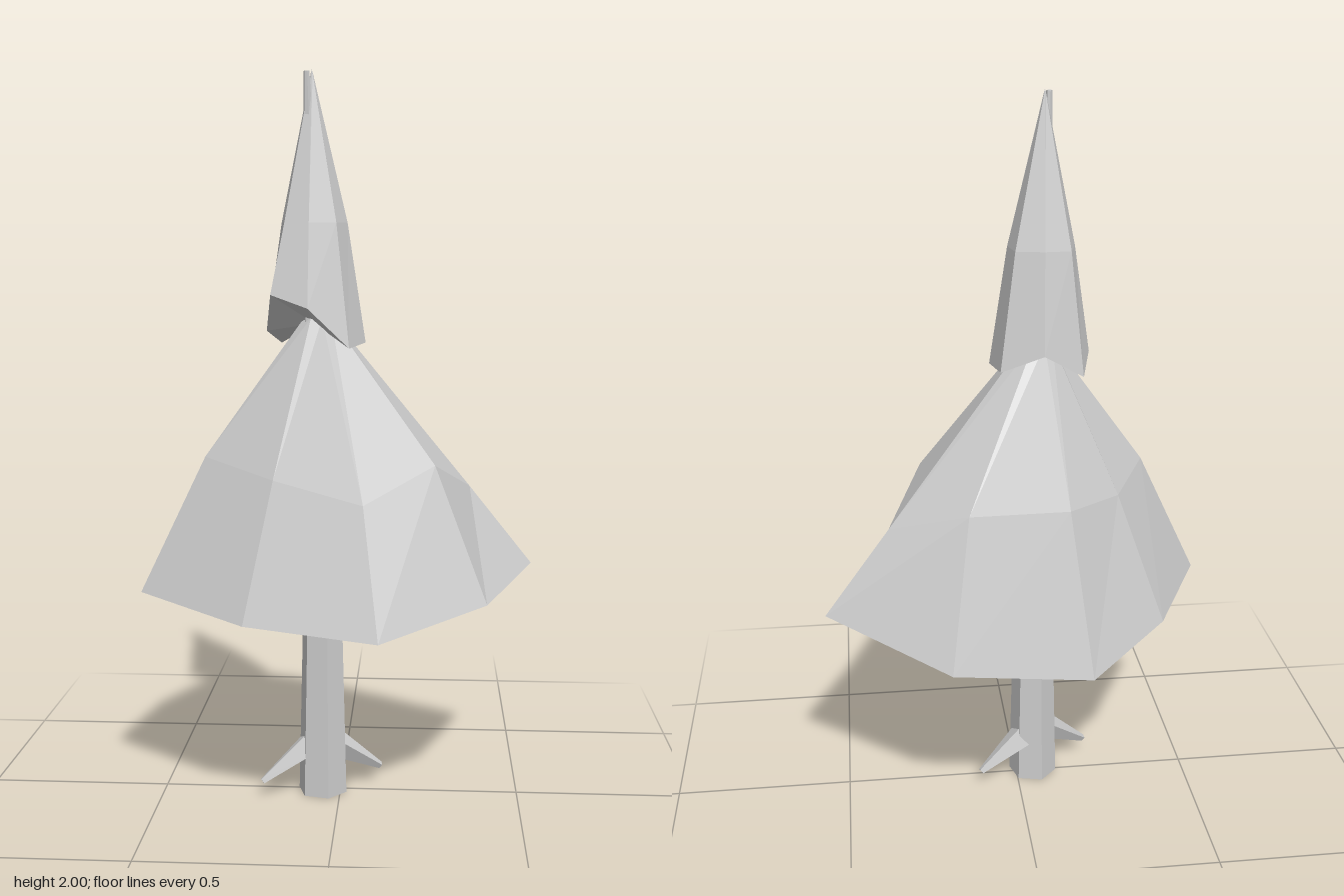
import * as THREE from 'three';

const grey = new THREE.MeshStandardMaterial({ color: 0xcccccc });
grey.name = 'pale grey';

function addMesh(group, name, geometry) {
  const flat = geometry.index ? geometry.toNonIndexed() : geometry;
  flat.computeVertexNormals();
  const mesh = new THREE.Mesh(flat, grey);
  mesh.name = name;
  group.add(mesh);
  return mesh;
}

// Skin rings of [x, y, z] points from bottom to top, closing both ends at a centre point.
function loft(rings, bottom, top) {
  const pos = [];
  const tri = (a, b, c) => pos.push(...a, ...b, ...c);
  const n = rings[0].length;
  const last = rings[rings.length - 1];
  for (let i = 0; i < n; i++) {
    const j = (i + 1) % n;
    tri(bottom, rings[0][i], rings[0][j]);
    for (let k = 0; k < rings.length - 1; k++) {
      const lo = rings[k], hi = rings[k + 1];
      tri(lo[i], hi[i], lo[j]);
      tri(lo[j], hi[i], hi[j]);
    }
    tri(top, last[j], last[i]);
  }
  const g = new THREE.BufferGeometry();
  g.setAttribute('position', new THREE.Float32BufferAttribute(pos, 3));
  return g;
}

function ring(cx, y, cz, r, sides, start) {
  return Array.from({ length: sides }, (_, i) => {
    const a = start + (i / sides) * Math.PI * 2;
    return [cx + r * Math.cos(a), y, cz + r * Math.sin(a)];
  });
}

// Tapered four-sided stub between two points
function stub(from, to, r0, r1) {
  const a = new THREE.Vector3(...from), b = new THREE.Vector3(...to);
  const dir = b.clone().sub(a);
  const g = new THREE.CylinderGeometry(r1, r0, dir.length(), 4, 1);
  g.applyQuaternion(new THREE.Quaternion().setFromUnitVectors(new THREE.Vector3(0, 1, 0), dir.normalize()));
  const m = a.add(b).multiplyScalar(0.5);
  return g.translate(m.x, m.y, m.z);
}

export function createModel() {
  const tree = new THREE.Group();
  tree.name = 'tree';

  // Leaning six-sided trunk, its tip just showing beside the crown
  const trunk = [
    [-0.05, 0, 0.01, 0.07], [-0.05, 0.56, 0.012, 0.056],
    [-0.07, 1.3, 0.02, 0.033], [-0.088, 1.995, 0.032, 0.008],
  ].map(([x, y, z, r]) => ring(x, y, z, r, 6, 0.227));
  addMesh(tree, 'trunk', loft(trunk, [-0.05, 0, 0.01], [-0.088, 1.995, 0.032]));

  // Broken branches near the ground
  addMesh(tree, 'leftBranch', stub([-0.02, 0.135, -0.01], [0.112, 0.048, -0.062], 0.042, 0.01));
  addMesh(tree, 'rightBranch', stub([-0.08, 0.145, 0.02], [-0.215, 0.048, 0.08], 0.042, 0.01));

  // Wide lower foliage
  const hem = [
    [-0.54, 0.6, 0.12], [-0.385, 0.59, -0.2], [-0.15, 0.565, -0.45], [0.21, 0.55, -0.365],
    [0.54, 0.635, -0.145], [0.4, 0.6, 0.205], [0.12, 0.56, 0.45], [-0.235, 0.567, 0.33],
  ];
  const waist = [
    [-0.365, 0.97, 0.075], [-0.26, 0.95, -0.14], [-0.105, 0.98, -0.305], [0.15, 0.94, -0.22],
    [0.36, 0.865, -0.105], [0.26, 0.96, 0.13], [0.075, 0.88, 0.295], [-0.165, 0.93, 0.215],
  ];
  const collar = ring(-0.06, 1.345, 0.015, 0.04, 8, 2.8);
  addMesh(tree, 'lowerFoliage', loft([hem, waist, collar], [-0.05, 0.6, 0.01], [-0.065, 1.38, 0.015]));

  // Narrow pointed crown with an uneven hem
  const tip = [-0.075, 2, 0.02];
  const crownHem = [
    [-0.17, 1.27, -0.085], [-0.065, 1.33, -0.09], [0.05, 1.285, -0.07], [0.07, 1.28, 0.035],
    [0.03, 1.27, 0.125], [-0.08, 1.375, 0.13], [-0.18, 1.41, 0.11], [-0.2, 1.31, 0.02],
  ];
  const crownMid = crownHem.map(([x, , z]) => [tip[0] + (x - tip[0]) * 0.66, 1.6, tip[2] + (z - tip[2]) * 0.68]);
  const crownTip = ring(tip[0], 1.99, tip[2], 0.003, 8, 3.8);
  addMesh(tree, 'crown', loft([crownHem, crownMid, crownTip], [-0.07, 1.33, 0.02], tip));

  return tree;
}
